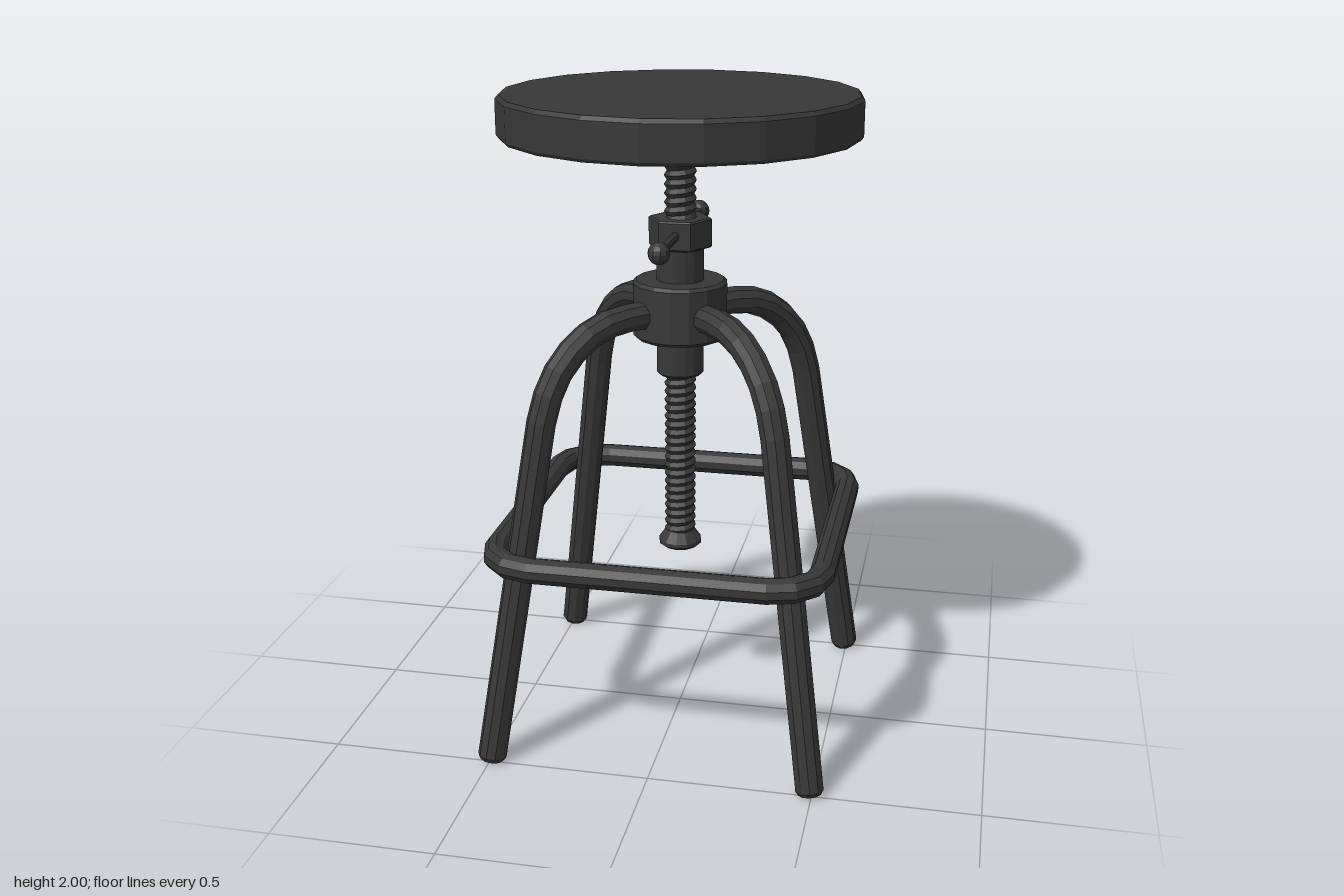
import * as THREE from 'three';

const material = new THREE.MeshStandardMaterial({ color: 0x383838, flatShading: true });

// Curve that passes straight through its points, one tube segment per span
class Polyline extends THREE.Curve {
  constructor(points, closed = false) {
    super();
    this.points = points;
    this.closed = closed;
    this.spans = closed ? points.length : points.length - 1;
  }
  at(i) {
    const n = this.points.length;
    return this.closed ? this.points[(i + n) % n] : this.points[Math.min(Math.max(i, 0), n - 1)];
  }
  getPointAt(u, target = new THREE.Vector3()) {
    const f = u * this.spans, i = Math.floor(f + 1e-6);
    return target.lerpVectors(this.at(i), this.at(i + 1), Math.max(0, f - i));
  }
  getTangentAt(u, target = new THREE.Vector3()) {
    const i = Math.round(u * this.spans);
    const before = this.at(i).clone().sub(this.at(i - 1)).normalize();
    const after = this.at(i + 1).clone().sub(this.at(i)).normalize();
    return target.addVectors(before, after).normalize();
  }
}

function add(parent, name, geometry, x = 0, y = 0, z = 0) {
  const mesh = new THREE.Mesh(geometry, material);
  mesh.name = name;
  mesh.position.set(x, y, z);
  parent.add(mesh);
  return mesh;
}

// Turned part from [radius, height] pairs, running from the bottom up the outside
const turned = (profile, sides) =>
  new THREE.LatheGeometry(profile.map(([r, y]) => new THREE.Vector2(r, y)), sides);

// Solid drum with chamfered rims
const drum = (r, y0, y1, c, sides) =>
  turned([[0, y0], [r - c, y0], [r, y0 + c], [r, y1 - c], [r - c, y1], [0, y1]], sides);

const tube = (curve, r, sides) =>
  new THREE.TubeGeometry(curve, curve.spans, r, sides, curve.closed);

// Helical thread: rows alternate crest and root, each row climbs one pitch per turn
function threadedRod(crest, root, length, pitch) {
  const rows = Math.round(length / pitch) * 2;
  const geometry = new THREE.CylinderGeometry(1, 1, length, 12, rows, true);
  const pos = geometry.attributes.position;
  for (let i = 0; i < pos.count; i++) {
    const row = Math.floor(i / 13), turn = (i % 13) / 12;
    const r = row % 2 ? root : crest;
    pos.setXYZ(i, pos.getX(i) * r, pos.getY(i) + turn * (2 * length / rows), pos.getZ(i) * r);
  }
  geometry.computeVertexNormals();
  return geometry;
}

export function createModel() {
  const stool = new THREE.Group();
  stool.name = 'stool';

  // Seat: shallow pan, hollow underneath, with a mounting flange
  add(stool, 'seat', turned([
    [0, 1.975], [0.518, 1.975], [0.523, 1.875], [0.533, 1.875],
    [0.54, 1.885], [0.54, 1.988], [0.53, 2], [0, 2],
  ], 20));
  add(stool, 'seatFlange', turned([
    [0, 1.94], [0.075, 1.94], [0.1, 1.955], [0.1, 1.976],
  ], 16));

  // Height screw and its end stop
  add(stool, 'screw', threadedRod(0.05, 0.041, 1.35, 0.027), 0, 1.275, 0);
  add(stool, 'screwStop', turned([
    [0, 0.565], [0.055, 0.565], [0.068, 0.575], [0.068, 0.587], [0.045, 0.62], [0, 0.62],
  ], 12));

  // Central hub, sleeve and hexagonal lock nut
  add(stool, 'hub', drum(0.145, 1.26, 1.44, 0.01, 16));
  add(stool, 'sleeve', drum(0.073, 1.14, 1.56, 0.008, 16));
  const nut = add(stool, 'lockNut', drum(0.097, 1.54, 1.63, 0.005, 6));
  nut.rotation.y = Math.PI / 2;

  // Lock handle through the nut, with a ball on each end
  const handle = new THREE.Group();
  handle.name = 'lockHandle';
  handle.position.y = 1.587;
  stool.add(handle);
  add(handle, 'handleRod', new THREE.CylinderGeometry(0.014, 0.014, 0.6, 8)).rotation.x = Math.PI / 2;
  for (const side of [-1, 1]) {
    add(handle, 'handleBall', new THREE.SphereGeometry(0.033, 10, 8), 0, 0, 0.303 * side);
  }

  // Four bent legs on the diagonals; first number is the offset along both x and z
  const legPath = [
    [0.07, 1.345], [0.14, 1.343], [0.185, 1.335], [0.23, 1.31], [0.27, 1.27],
    [0.305, 1.215], [0.33, 1.15], [0.348, 1.07], [0.493, 0.022],
  ].map(([d, y]) => new THREE.Vector3(d, y, d));
  const legGeometry = tube(new Polyline(legPath), 0.044, 10);
  const footGeometry = new THREE.CylinderGeometry(0.044, 0.036, 0.014, 10);
  const legAxis = legPath[7].clone().sub(legPath[8]).normalize();
  for (let i = 0; i < 4; i++) {
    const leg = new THREE.Group();
    leg.name = 'leg';
    leg.rotation.y = i * Math.PI / 2;
    stool.add(leg);
    add(leg, 'legTube', legGeometry);
    const foot = add(leg, 'foot', footGeometry);
    foot.position.copy(legPath[8]).addScaledVector(legAxis, -0.006);
    foot.quaternion.setFromUnitVectors(new THREE.Vector3(0, 1, 0), legAxis);
  }

  // Square footrest ring with rounded corners
  const ring = [];
  for (let corner = 0; corner < 4; corner++) {
    const mid = (corner + 0.5) * Math.PI / 2;
    for (let k = 0; k <= 3; k++) {
      const a = (corner + k / 3) * Math.PI / 2;
      ring.push(new THREE.Vector3(
        0.352 * Math.sign(Math.cos(mid)) + 0.145 * Math.cos(a),
        0,
        0.352 * Math.sign(Math.sin(mid)) + 0.145 * Math.sin(a),
      ));
    }
  }
  add(stool, 'footrest', tube(new Polyline(ring, true), 0.039, 10), 0, 0.66, 0);

  return stool;
}
